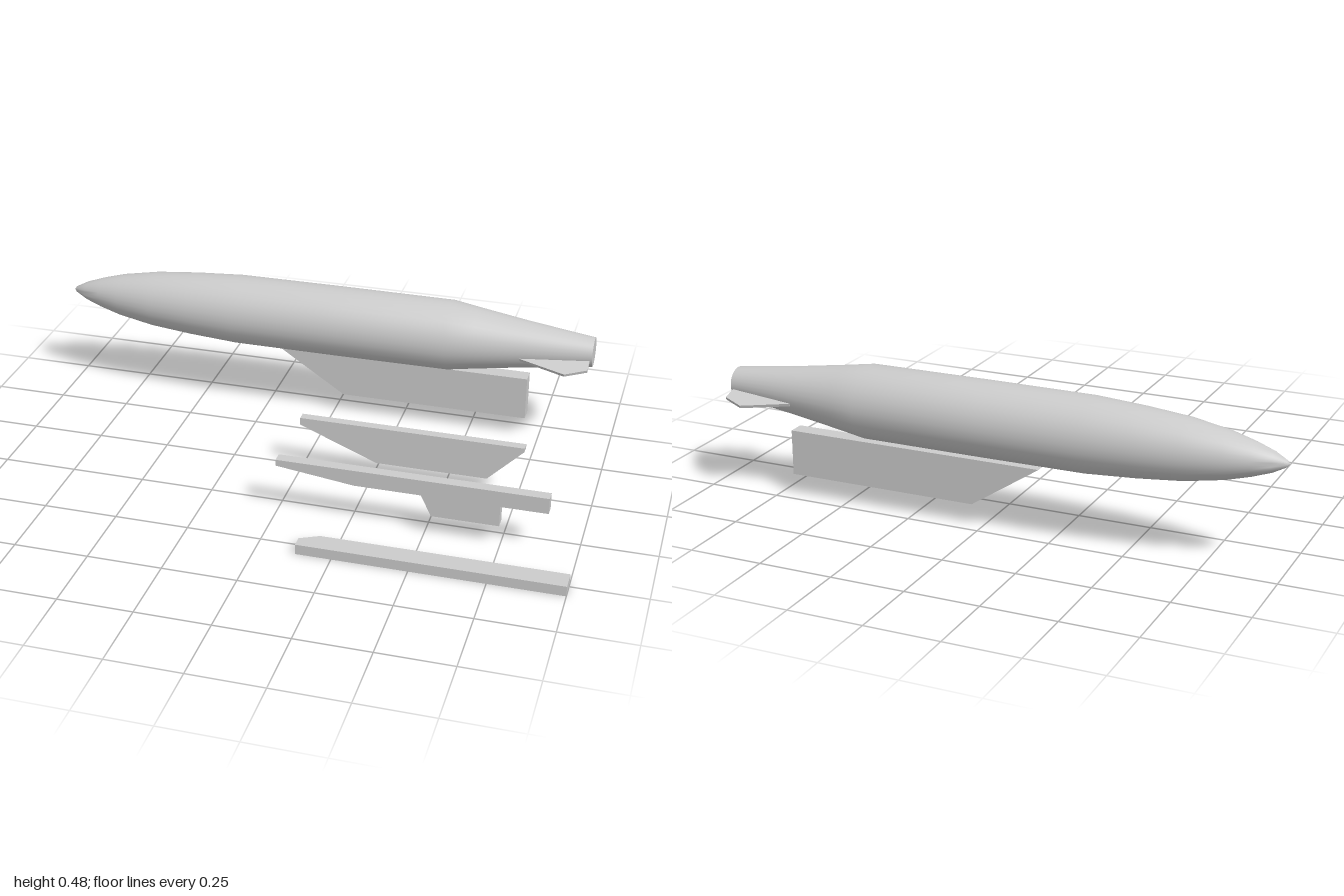
import * as THREE from 'three';
import { toCreasedNormals } from 'three/addons/utils/BufferGeometryUtils.js';

const material = new THREE.MeshStandardMaterial({ color: 0xcccccc });

function addMesh(parent, name, geometry) {
  const mesh = new THREE.Mesh(geometry, material);
  mesh.name = name;
  parent.add(mesh);
  return mesh;
}

// Flat plate: outline in x/y, thickness running from z0 to z1
function plate(outline, z0, z1) {
  const shape = new THREE.Shape(outline.map(([x, y]) => new THREE.Vector2(x, y)));
  const geometry = new THREE.ExtrudeGeometry(shape, { depth: z1 - z0, bevelEnabled: false });
  return geometry.translate(0, 0, z0);
}

export function createModel() {
  const model = new THREE.Group();
  model.name = 'fuelTankAndPylons';

  // Tank: body of revolution along x, given as [x, radius]
  const tank = new THREE.Group();
  tank.name = 'fuelTank';
  tank.position.set(0, 0.358, -0.424);
  model.add(tank);
  const profile = [
    [-1, 0], [-0.993, 0.01], [-0.95, 0.033], [-0.89, 0.054], [-0.81, 0.076], [-0.68, 0.099],
    [-0.53, 0.113], [-0.36, 0.1235], [0, 0.1245], [0.42, 0.1235], [0.51, 0.109],
    [0.69, 0.082], [0.923, 0.052], [0.923, 0],
  ].map(([x, r]) => new THREE.Vector2(r, x));
  const body = new THREE.LatheGeometry(profile, 32).rotateZ(-Math.PI / 2);
  addMesh(tank, 'tankBody', toCreasedNormals(body, 0.6));

  // Tail fins: radial plates drooping below the horizontal on each side
  const finOutline = [[0.64, 0.04], [0.915, 0.03], [0.915, 0.1], [0.84, 0.134], [0.68, 0.085]];
  const droop = THREE.MathUtils.degToRad(17);
  for (const side of [1, -1]) {
    const fin = plate(finOutline, -0.005, 0.005).rotateX(side * (Math.PI / 2 + droop));
    addMesh(tank, side > 0 ? 'frontTailFin' : 'rearTailFin', fin);
  }

  // Large pylon just below the tank
  addMesh(model, 'tankPylon', plate(
    [[-0.2, 0.228], [0.035, 0.073], [0.7, 0.073], [0.7, 0.228]], -0.465, -0.409));

  // Swept pylon, leaning slightly sideways towards its lower edge
  const swept = plate(
    [[0, 0.203], [0, 0.178], [0.27, 0.072], [0.65, 0.072], [0.77, 0.19], [0.77, 0.203]], 0.005, 0.037);
  const pos = swept.attributes.position;
  for (let i = 0; i < pos.count; i++) {
    pos.setZ(i, pos.getZ(i) + (0.203 - pos.getY(i)) * 0.04);
  }
  swept.computeVertexNormals();
  addMesh(model, 'sweptPylon', swept);

  // Stepped pylon with a short lower foot
  addMesh(model, 'steppedPylon', plate([
    [0, 0.2], [0, 0.178], [0.265, 0.145], [0.487, 0.145], [0.522, 0.073],
    [0.745, 0.073], [0.745, 0.145], [0.9, 0.145], [0.9, 0.2],
  ], 0.29, 0.328));

  // Launch rail: plan outline with one clipped nose corner (x, -z)
  const rail = plate(
    [[0.132, -0.555], [1, -0.555], [1, -0.483], [0.195, -0.483], [0.132, -0.515]], 0, 0.035);
  addMesh(model, 'launchRail', rail.rotateX(-Math.PI / 2));

  return model;
}
